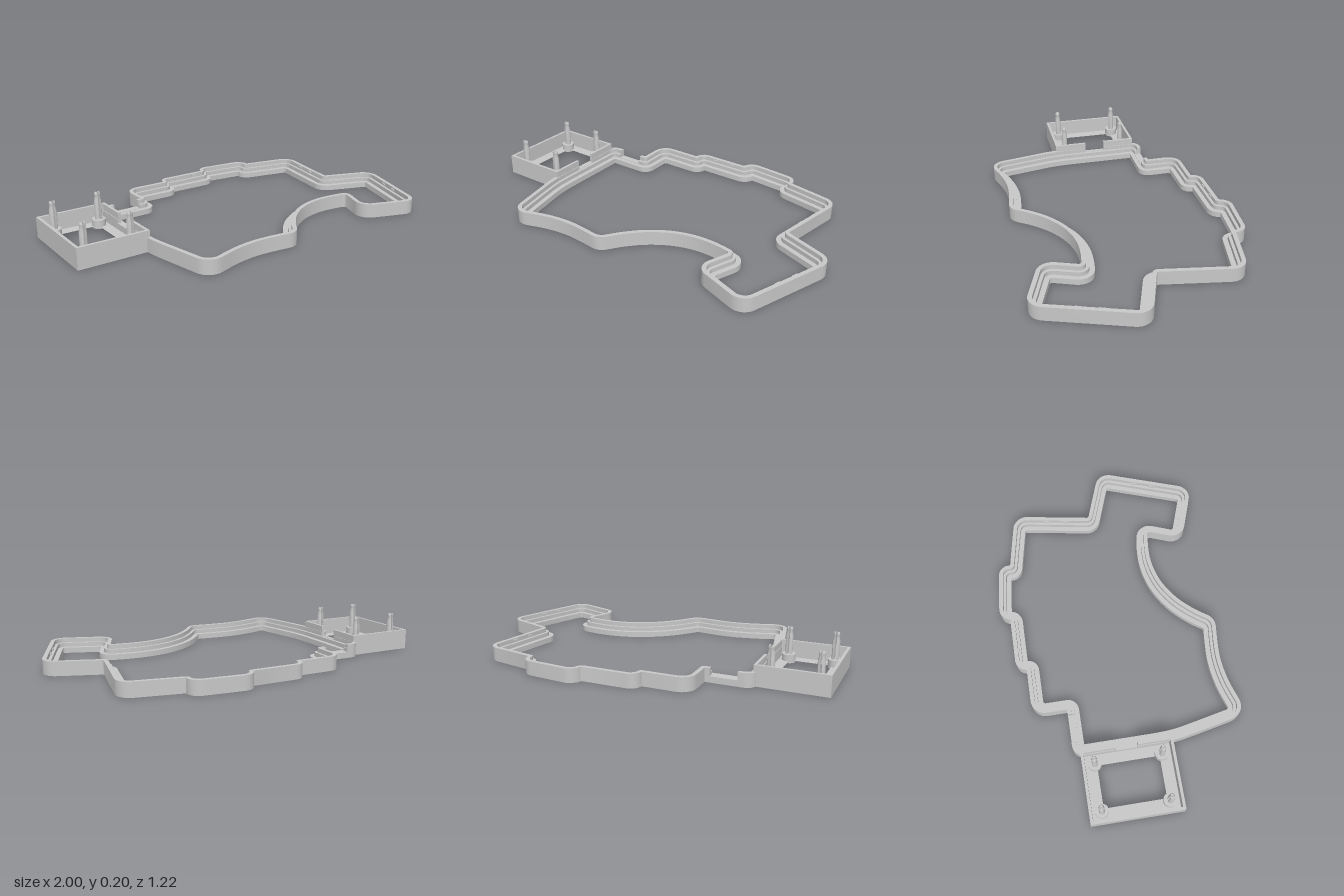
import * as THREE from 'three';
import { toCreasedNormals } from 'three/addons/utils/BufferGeometryUtils.js';

const grey = new THREE.MeshStandardMaterial({ color: 0xc8c8c8 });
grey.name = 'light grey';

function add(parent, name, geometry, x = 0, y = 0, z = 0) {
  const mesh = new THREE.Mesh(geometry, grey);
  mesh.name = name;
  mesh.position.set(x, y, z);
  parent.add(mesh);
  return mesh;
}

// box given by its limits on each axis
function block(parent, name, x0, x1, y0, y1, z0, z1) {
  return add(parent, name, new THREE.BoxGeometry(x1 - x0, y1 - y0, z1 - z0),
    (x0 + x1) / 2, (y0 + y1) / 2, (z0 + z1) / 2);
}

// Rim centreline: x, z, corner radius, height limit from here on (for cable notches)
const R = 0.045, CURVE = 9, FULL = 1;
const rimPath = [
  [-0.611, -0.283, R], [-0.559, -0.283, R, 0.033], [-0.415, -0.283, R, FULL], [-0.358, -0.283, R],
  [-0.358, -0.468, R], [-0.104, -0.468, R], [-0.104, -0.524, R],
  [0.192, -0.524, R], [0.207, -0.581, R], [0.471, -0.556, R], [0.463, -0.495, R],
  [0.77, -0.436, R], [0.696, -0.013, R], [0.982, 0.088, R], [0.816, 0.558, R],
  [0.557, 0.467, R], [0.632, 0.272, R],
  [0.53, 0.25, CURVE], [0.4, 0.243, CURVE], [0.26, 0.275, CURVE],
  [0.13, 0.355, CURVE], [0.04, 0.45, CURVE], [-0.02, 0.537, R],
  [-0.13, 0.523, CURVE], [-0.24, 0.516, CURVE], [-0.37, 0.533, CURVE], [-0.535, 0.587, R],
  [-0.579, 0.375, CURVE], [-0.604, 0.25, CURVE], [-0.611, 0.16, CURVE],
  [-0.611, 0.025, R, 0.054], [-0.611, -0.095, R, FULL],
];

// Samples with heading, corners replaced by circular arcs
function samplePath(path) {
  const samples = [], n = path.length;
  let limit = FULL;
  path.forEach(([x, z, radius, nextLimit], i) => {
    const p = path[(i + n - 1) % n], q = path[(i + 1) % n];
    const l0 = Math.hypot(x - p[0], z - p[1]), l1 = Math.hypot(q[0] - x, q[1] - z);
    const a0 = Math.atan2(z - p[1], x - p[0]), a1 = Math.atan2(q[1] - z, q[0] - x);
    const turn = Math.atan2(Math.sin(a1 - a0), Math.cos(a1 - a0));
    const straight = Math.abs(turn) < 1e-4;
    const half = Math.tan(Math.abs(turn) / 2);
    const t = straight ? 0 : Math.min(radius * half, l0 / 2, l1 / 2);
    const r = straight ? 0 : Math.sign(turn) * t / half;
    const sx = x - t * Math.cos(a0), sz = z - t * Math.sin(a0);
    const steps = straight ? 1 : 8;
    for (let k = 0; k <= steps; k++) {
      const a = a0 + turn * k / steps;
      if (k === 1 && nextLimit !== undefined) limit = nextLimit;
      samples.push({
        x: sx + r * (Math.sin(a) - Math.sin(a0)),
        z: sz - r * (Math.cos(a) - Math.cos(a0)), a, limit,
      });
    }
  });
  return samples;
}

// Stepped cross-section swept round the closed path
function rimGeometry() {
  const profile = [[-0.032, 0], [-0.032, 0.075], [-0.01, 0.075], [-0.01, 0.052],
    [0.006, 0.052], [0.006, 0.03], [0.032, 0.03], [0.032, 0]];
  const samples = samplePath(rimPath), positions = [], index = [];
  const m = profile.length, n = samples.length;
  samples.forEach((s, i) => profile.forEach(([d, y], j) => {
    positions.push(s.x - Math.sin(s.a) * d, Math.min(y, s.limit), s.z + Math.cos(s.a) * d);
    const i2 = (i + 1) % n, j2 = (j + 1) % m;
    const a = i * m + j, b = i * m + j2, c = i2 * m + j2, e = i2 * m + j;
    index.push(a, b, c, a, c, e);
  }));
  const g = new THREE.BufferGeometry();
  g.setAttribute('position', new THREE.Float32BufferAttribute(positions, 3));
  g.setIndex(index);
  return toCreasedNormals(g, 0.6);
}

// Split snap-in pin standing on a round collar
function mountingPost(x, z) {
  const post = new THREE.Group();
  post.name = 'mountingPost';
  post.position.set(x, 0, z);
  add(post, 'postCollar', new THREE.CylinderGeometry(0.036, 0.036, 0.045, 28), 0, 0.0325, 0);
  const outline = [[0.015, 0.05], [0.015, 0.155], [0.01, 0.178], [0.012, 0.186],
    [0.012, 0.194], [0.009, 0.2], [0, 0.2]].map(([r, y]) => new THREE.Vector2(r, y));
  const lathe = toCreasedNormals(new THREE.LatheGeometry(outline, 14, 0, Math.PI), 0.6);
  const mirrored = outline.slice(0, -1).reverse().map(v => new THREE.Vector2(-v.x, v.y));
  const flat = new THREE.ShapeGeometry(new THREE.Shape([...outline, ...mirrored]));
  flat.rotateY(-Math.PI / 2);
  for (const side of [1, -1]) {
    const prong = new THREE.Group();
    prong.name = 'pinProng';
    prong.rotation.y = side > 0 ? 0 : Math.PI;
    prong.position.x = side * 0.004;
    add(prong, 'prongOutside', lathe);
    add(prong, 'prongInside', flat);
    post.add(prong);
  }
  return post;
}

export function createModel() {
  const model = new THREE.Group();
  model.name = 'caseFrame';

  // Outline rim with stepped inner ledge
  add(model, 'steppedRim', rimGeometry());

  // Small snap clips on the inside of the rim wall
  const clips = [[-0.015, -0.532, 0], [0.1, -0.532, 0], [0.749, -0.28, 1.744], [0.73, -0.17, 1.744],
    [0.922, 0.27, 1.91], [0.887, 0.37, 1.91]];
  for (const [x, z, heading] of clips) {
    add(model, 'snapClip', new THREE.BoxGeometry(0.03, 0.01, 0.008), x, 0.064, z).rotation.y = -heading;
  }

  // Side tray: floor with a rectangular opening
  const tray = new THREE.Group();
  tray.name = 'sideTray';
  model.add(tray);
  const right = -0.624, back = -0.277, front = 0.21;
  const rect = (C, x0, x1, z0, z1) => new C([[x0, z0], [x1, z0], [x1, z1], [x0, z1]]
    .map(([x, z]) => new THREE.Vector2(x, -z)));
  const floor = rect(THREE.Shape, -1, right, back, front);
  floor.holes.push(rect(THREE.Path, -0.922, -0.7, -0.2, 0.132));
  const floorGeometry = new THREE.ExtrudeGeometry(floor, { depth: 0.02, bevelEnabled: false });
  floorGeometry.rotateX(-Math.PI / 2);
  add(tray, 'trayFloor', floorGeometry);

  // Tray walls, with a cable notch towards the rim
  const top = 0.11, w = 0.015;
  block(tray, 'outerWall', -1, -1 + w, 0.02, top, back, front);
  block(tray, 'backWall', -1 + w, right, 0.02, top, back, back + w);
  block(tray, 'frontWall', -1 + w, right, 0.02, top, front - w, front);
  block(tray, 'innerWall', right - w, right, 0.02, top, back + w, -0.09);
  block(tray, 'innerWall', right - w, right, 0.02, top, 0.025, front - w);
  block(tray, 'notchSill', right - w, right, 0.02, 0.045, -0.09, 0.025);

  // Four pins
  for (const x of [-0.935, -0.692]) for (const z of [-0.211, 0.144]) tray.add(mountingPost(x, z));

  return model;
}
